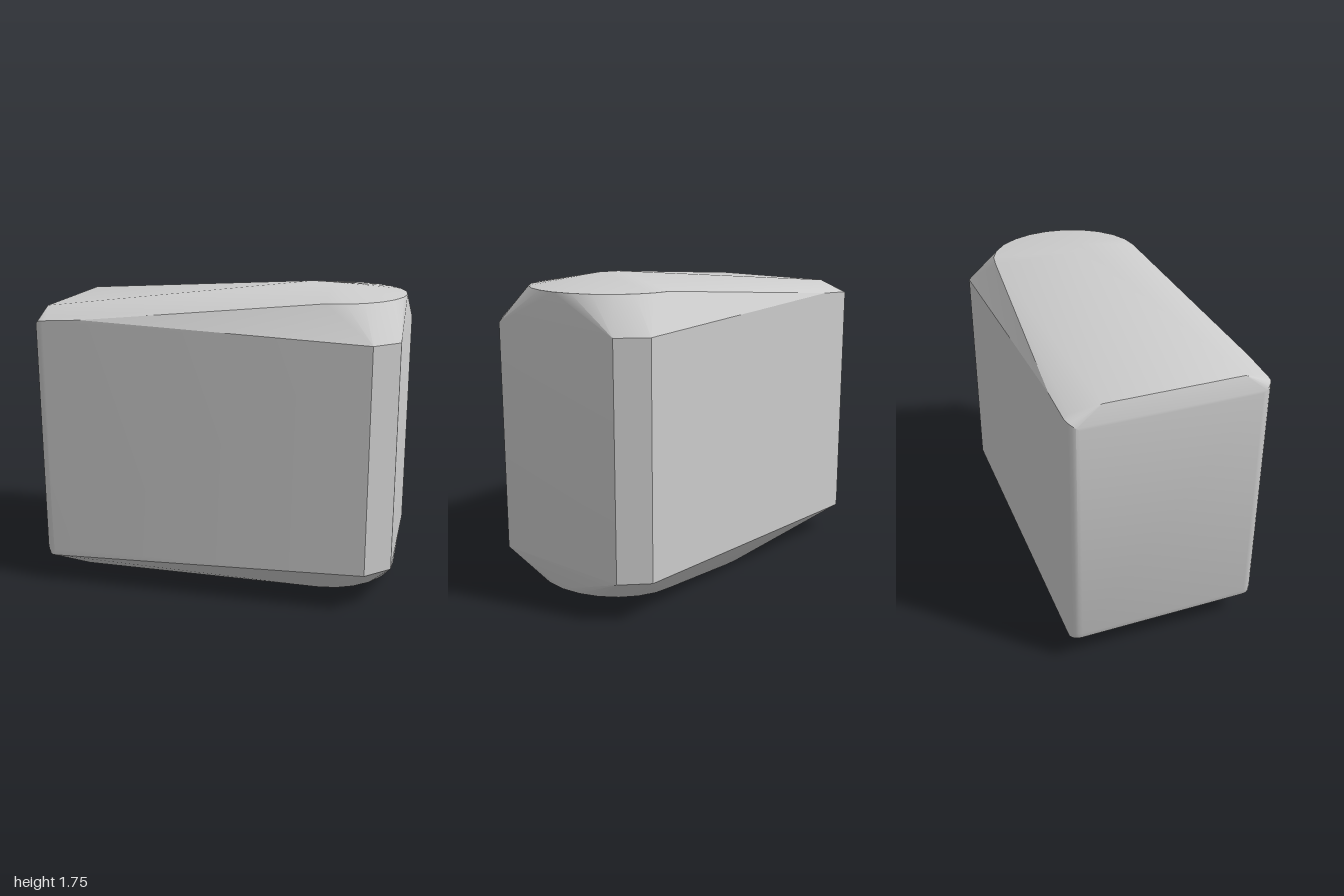
import * as THREE from 'three';
import { ConvexGeometry } from 'three/addons/geometries/ConvexGeometry.js';
import { toCreasedNormals } from 'three/addons/utils/BufferGeometryUtils.js';

export function createModel() {
  const group = new THREE.Group();
  const grey = new THREE.MeshStandardMaterial({ color: 0xcccccc });
  grey.name = 'stone grey';

  const points = [];
  const add = (x, y, z) => points.push(new THREE.Vector3(x, y, z));

  // half-round rims of the top and bottom at the chamfered end
  for (const [y, tip] of [[1.68, 0.99], [0.08, 0.983]]) {
    for (let i = 0; i <= 12; i++) {
      const a = -Math.PI / 2 + (i / 12) * Math.PI;
      add(0.6 + (tip - 0.6) * Math.cos(a), y, 0.435 * Math.sin(a));
    }
  }

  for (const s of [-1, 1]) {
    // chamfered upright corners
    for (const y of [0.222, 1.49]) {
      add(0.865, y, s * 0.543);
      add(0.997, y, s * 0.413);
    }
    // rounded upright corners at the other end
    for (let i = 0; i <= 5; i++) {
      const a = (i / 5) * Math.PI / 2;
      const c = Math.cos(a), n = Math.sin(a);
      add(-0.94 - 0.06 * c, 1.5 + 0.045 * n, s * (0.483 + 0.06 * n));
      add(-0.94 - 0.058 * c, 0.2, s * (0.483 + 0.06 * n));
      add(-0.94 - 0.045 * c, 0.16, s * (0.483 + 0.06 * n));
    }
    // shoulders where the roof meets the side walls
    add(-0.72, 1.558, s * 0.543);
    add(-0.93, 1.56, s * 0.515);
  }

  // upper edge of the flat end
  add(-0.97, 1.605, -0.36);
  add(-0.97, 1.605, 0.39);
  // roof peak
  add(0.47, 1.744, 0.04);
  add(0.58, 1.745, 0.07);
  // lowest points of the underside
  add(-0.08, 0, -0.37);
  add(0.0, 0.002, -0.37);
  add(-0.77, 0.08, 0.43);

  const geometry = toCreasedNormals(new ConvexGeometry(points), 0.42);
  const block = new THREE.Mesh(geometry, grey);
  block.name = 'block';
  group.add(block);
  return group;
}
